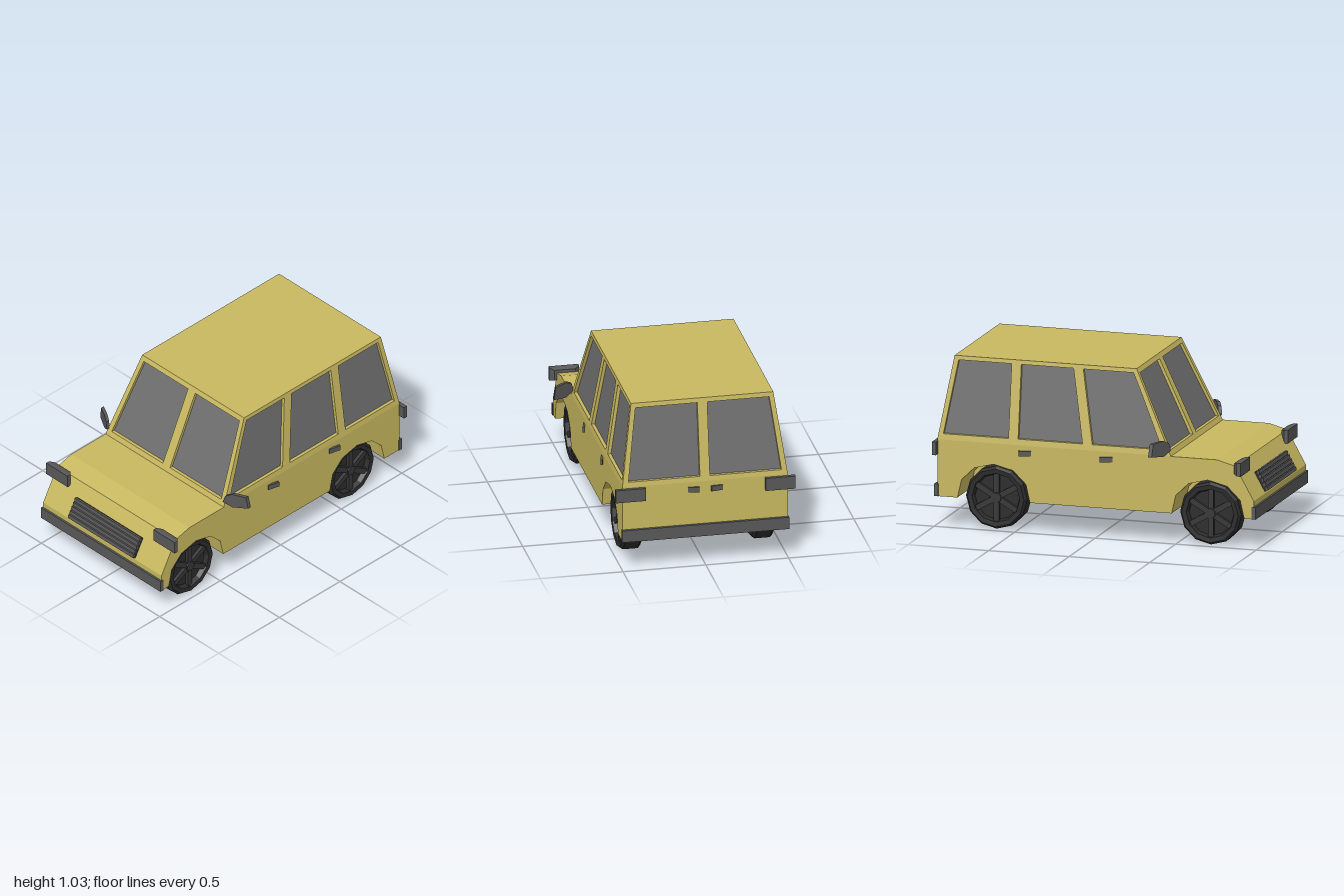
import * as THREE from 'three';

const material = (color) => new THREE.MeshStandardMaterial({ color, flatShading: true });
const V = (x, y, z) => new THREE.Vector3(x, y, z);
const toVec2 = (pts) => pts.map(([x, y]) => new THREE.Vector2(x, y));

export function createModel() {
  const model = new THREE.Group();
  const paint = material(0xc8b860), glassMat = material(0x6e6e6e), trim = material(0x585858);
  const rubber = material(0x2b2b2b), rimMat = material(0x363636);

  const add = (name, geometry, mat, parent = model) => {
    const mesh = new THREE.Mesh(geometry, mat);
    mesh.name = name;
    parent.add(mesh);
    return mesh;
  };
  const box = (name, size, pos, mat, parent) => {
    const mesh = add(name, new THREE.BoxGeometry(...size), mat, parent);
    mesh.position.set(...pos);
    return mesh;
  };
  // One group per side; the right one is the mirror of the left one
  const sides = ['left', 'right'].map((name, i) => {
    const group = new THREE.Group();
    group.name = name + 'Side';
    group.scale.x = i ? -1 : 1;
    model.add(group);
    return group;
  });
  const extrude = (pts, depth, holes = []) => {
    const shape = new THREE.Shape(toVec2(pts));
    holes.forEach((h) => shape.holes.push(new THREE.Path(toVec2(h))));
    return new THREE.ExtrudeGeometry(shape, { depth, bevelEnabled: false });
  };
  // Maps a (z, y) outline to the side of the car, extruded towards -x
  const sideways = (x) => new THREE.Matrix4()
    .makeBasis(V(0, 0, 1), V(0, 1, 0), V(-1, 0, 0)).setPosition(x, 0, 0);

  // Lower body: a full centre slab and two outer slabs with wheel arches
  const axles = [0.70, -0.63], floor = 0.19, belt = 0.535, roofY = 1.035;
  const upper = [[0.985, floor], [0.985, 0.30], [0.87, 0.505], [0.755, belt], [-0.98, belt], [-0.98, floor]];
  const arch = [[-0.225, floor], [-0.2, 0.3], [-0.12, 0.378], [0, 0.408], [0.12, 0.378], [0.2, 0.3], [0.225, floor]];
  const arches = [...axles].reverse().flatMap((z) => arch.map(([dz, y]) => [z + dz, y]));
  add('bodyCentre', extrude(upper, 0.5).applyMatrix4(sideways(0.25)), paint);
  sides.forEach((s) => add('bodySide', extrude([...upper, ...arches], 0.25).applyMatrix4(sideways(0.5)), paint, s));

  // Cabin walls: leaning frames with recessed panes
  const wall = (name, outline, windows, u, lean, inward, base, parent) => {
    const place = (inset) => {
      const origin = base.clone().addScaledVector(inward, inset).addScaledVector(lean, -belt);
      origin.y += belt - base.y;
      return new THREE.Matrix4().makeBasis(u, lean, inward).setPosition(origin);
    };
    add(name + 'Frame', extrude(outline, 0.03, windows).applyMatrix4(place(0)), paint, parent);
    windows.forEach((w) => add(name + 'Window', extrude(w, 0.006).applyMatrix4(place(0.02)), glassMat, parent));
  };
  const endOutline = [[-0.5, belt], [0.5, belt], [0.43, roofY], [-0.43, roofY]];
  const pane = [[0.03, 0.565], [0.462, 0.565], [0.405, 1.007], [0.03, 1.007]];
  const endWindows = [pane, pane.map(([x, y]) => [-x, y])];
  wall('front', endOutline, endWindows, V(-1, 0, 0), V(0, 1, -0.47), V(0, 0, -1), V(0, belt, 0.47));
  wall('rear', endOutline, endWindows, V(1, 0, 0), V(0, 1, 0.17), V(0, 0, 1), V(0, belt, -0.98));

  const sideOutline = [[0.47, belt], [0.235, roofY], [-0.895, roofY], [-0.98, belt]];
  const sideWindows = [
    [[0.415, 0.57], [0.22, 1.01], [-0.095, 1.01], [-0.02, 0.57]],
    [[-0.08, 0.57], [-0.155, 1.01], [-0.48, 1.01], [-0.48, 0.57]],
    [[-0.54, 0.57], [-0.54, 1.01], [-0.875, 1.01], [-0.945, 0.57]],
  ];
  sides.forEach((s) => wall('side', sideOutline, sideWindows,
    V(0, 0, 1), V(-0.14, 1, 0), V(-1, 0, 0), V(0.5, belt, 0), s));
  box('roof', [0.86, 0.02, 1.13], [0, roofY - 0.01, -0.33], paint);

  // Bumpers
  box('frontBumper', [1.01, 0.075, 0.025], [0, 0.2275, 0.985], trim);
  box('rearBumper', [1.01, 0.075, 0.025], [0, 0.2275, -0.985], trim);

  // Grille of slats lying along the sloping nose
  const grille = new THREE.Group();
  grille.name = 'grille';
  grille.position.set(0, 0.37, 0.958);
  grille.rotation.x = -0.51;
  model.add(grille);
  box('grilleBack', [0.55, 0.13, 0.02], [0, 0, -0.005], rubber, grille);
  for (let i = 0; i < 5; i++) {
    box('grilleSlat', [0.55, 0.022, 0.016], [0, -0.054 + i * 0.027, 0.008], trim, grille).rotation.x = 0.3;
  }

  // Headlight: a block whose back end is narrower
  const headlight = new THREE.BoxGeometry(0.18, 0.08, 0.05, 1, 1, 2);
  const hp = headlight.attributes.position;
  for (let i = 0; i < hp.count; i++) {
    if (hp.getZ(i) < -0.01) hp.setXY(i, hp.getX(i) * 0.7, hp.getY(i) * 0.8);
  }

  // Mirror: a flat plate swept backwards
  const mirror = extrude([[0.49, 0.57], [0.54, 0.54], [0.625, 0.55], [0.612, 0.628], [0.54, 0.635], [0.503, 0.615]], 0.022);
  const mp = mirror.attributes.position;
  for (let i = 0; i < mp.count; i++) mp.setZ(i, mp.getZ(i) + 0.44 - 0.57 * (mp.getX(i) - 0.5));
  mirror.computeVertexNormals();

  // Wheel: tyre with a recessed face, spokes, hub and a tapering axle
  const tyreProfile = toVec2([[0, -0.06], [0.17, -0.0625], [0.19, -0.045], [0.19, 0.045],
    [0.176, 0.0625], [0.148, 0.06], [0.138, 0.03], [0, 0.03]]);
  const tyre = new THREE.LatheGeometry(tyreProfile, 12).rotateZ(-Math.PI / 2);
  const makeWheel = (z, parent) => {
    const wheel = new THREE.Group();
    wheel.name = 'wheel';
    wheel.position.set(0.398, 0.195, z);
    parent.add(wheel);
    add('tyre', tyre, rubber, wheel);
    add('hub', new THREE.CylinderGeometry(0.03, 0.036, 0.03, 12).rotateZ(-Math.PI / 2), rimMat, wheel).position.x = 0.043;
    for (let i = 0; i < 6; i++) {
      const spoke = new THREE.BoxGeometry(0.02, 0.125, 0.034).translate(0.041, 0.082, 0);
      add('spoke', spoke.rotateX((i * Math.PI) / 3), rimMat, wheel);
    }
    add('axle', new THREE.CylinderGeometry(0.04, 0.012, 0.16, 10).rotateZ(-Math.PI / 2), rubber, wheel).position.x = -0.13;
  };

  sides.forEach((s) => {
    add('headlight', headlight, trim, s).position.set(0.453, 0.493, 0.893);
    box('tailLight', [0.18, 0.08, 0.025], [0.453, 0.487, -0.9875], trim, s);
    add('mirror', mirror, trim, s);
    [0.07, -0.435].forEach((z) => {
      box('doorHandle', [0.014, 0.032, 0.075], [0.508, 0.488, z], trim, s).rotation.y = -0.26;
    });
    box('rearHandle', [0.07, 0.032, 0.014], [0.07, 0.488, -0.985], trim, s).rotation.y = -0.15;
    axles.forEach((z) => makeWheel(z, s));
  });
  return model;
}
